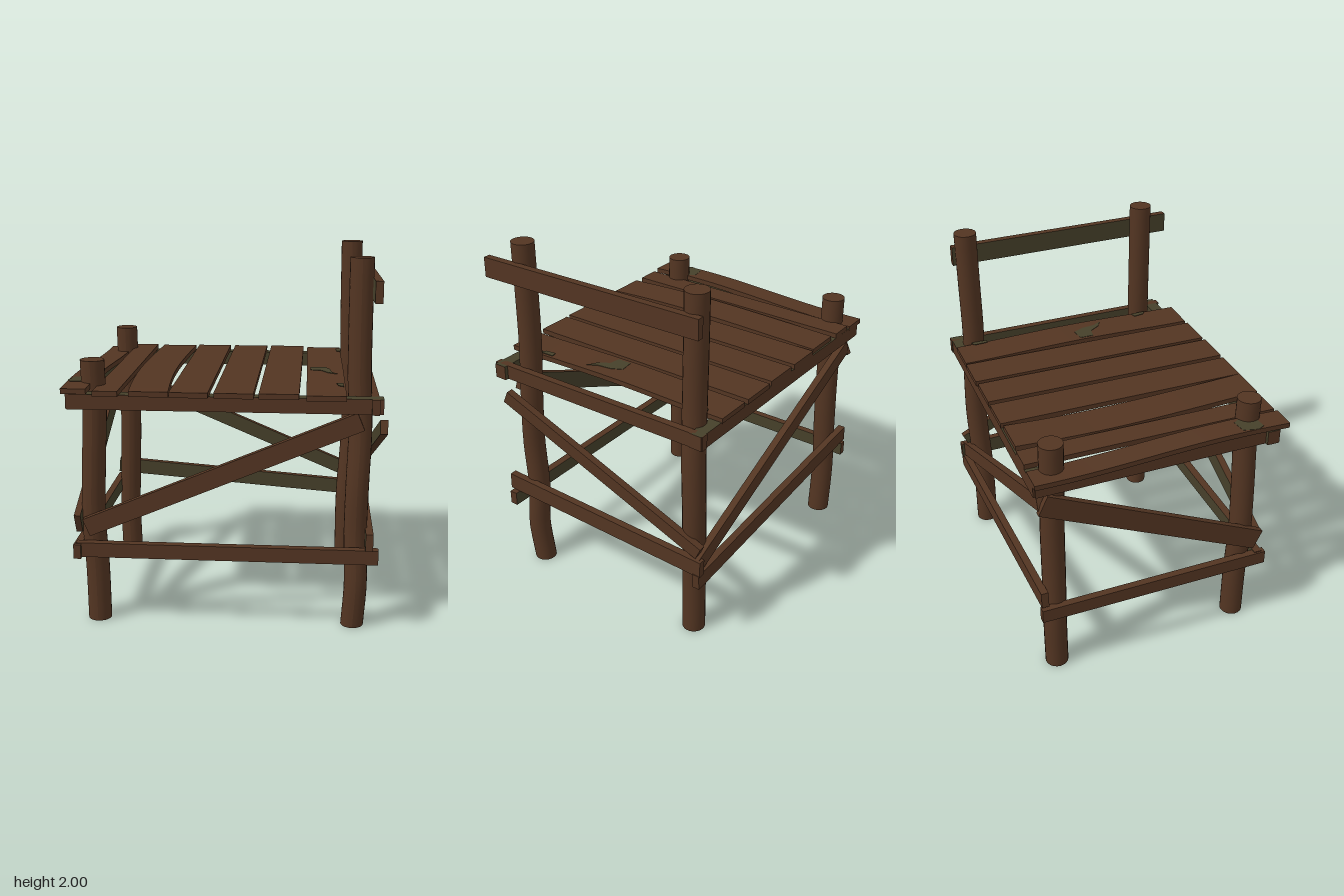
import * as THREE from 'three';

const wood = new THREE.MeshStandardMaterial({ color: 0x533522 });
wood.name = 'brown wood';
const moss = new THREE.MeshStandardMaterial({ color: 0x46402a });
moss.name = 'mossy wood';

const V = (x, y, z) => new THREE.Vector3(x, y, z);

export function createModel() {
  const group = new THREE.Group();
  const add = (name, geometry, material) => {
    const mesh = new THREE.Mesh(geometry, material);
    mesh.name = name;
    group.add(mesh);
    return mesh;
  };

  // Slightly crooked round post: a cylinder whose rings follow a curve of [x, y, z] points
  const post = (name, radius, points) => {
    const curve = new THREE.CatmullRomCurve3(points.map((p) => V(...p)));
    const geo = new THREE.CylinderGeometry(radius, radius, 1, 20, 24);
    const pos = geo.attributes.position;
    for (let i = 0; i < pos.count; i++) {
      const c = curve.getPoint(THREE.MathUtils.clamp(pos.getY(i) + 0.5, 0, 1));
      pos.setXYZ(i, pos.getX(i) + c.x, c.y, pos.getZ(i) + c.z);
    }
    geo.computeVertexNormals();
    add(name, geo, wood);
  };
  post('frontTallPost', 0.062, [
    [0.685, 0, 0.497], [0.698, 0.25, 0.515], [0.69, 0.5, 0.502], [0.692, 0.8, 0.515],
    [0.7, 1.1, 0.497], [0.688, 1.4, 0.49], [0.685, 1.7, 0.49], [0.685, 2, 0.492]]);
  post('backTallPost', 0.063, [
    [0.668, 0, -0.582], [0.668, 0.4, -0.582], [0.69, 0.8, -0.595], [0.69, 1.05, -0.59],
    [0.672, 1.35, -0.58], [0.667, 1.7, -0.583], [0.665, 2, -0.585]]);
  post('frontShortPost', 0.064, [
    [-0.712, 0, 0.515], [-0.716, 0.3, 0.515], [-0.728, 0.6, 0.52],
    [-0.718, 0.9, 0.52], [-0.705, 1.2, 0.517], [-0.71, 1.46, 0.518]]);
  post('backShortPost', 0.064, [
    [-0.725, 0, -0.58], [-0.732, 0.3, -0.585], [-0.722, 0.6, -0.58],
    [-0.715, 0.9, -0.578], [-0.722, 1.2, -0.575], [-0.727, 1.46, -0.575]]);

  // Straight board between two points; its inner face (and optionally its top) is mossy
  const board = (name, a, b, height, thick, outward, mossyTop = false) => {
    const from = V(...a), to = V(...b);
    const x = to.clone().sub(from).normalize();
    const z = V(...outward).addScaledVector(x, -x.dot(V(...outward))).normalize();
    const y = z.clone().cross(x);
    if (y.y < 0) { x.negate(); y.negate(); }
    const geo = new THREE.BoxGeometry(from.distanceTo(to), height, thick);
    const mesh = add(name, geo, [wood, wood, mossyTop ? moss : wood, wood, wood, moss]);
    mesh.quaternion.setFromRotationMatrix(new THREE.Matrix4().makeBasis(x, y, z));
    mesh.position.copy(from.add(to).multiplyScalar(0.5));
  };
  const F = [0, 0, 1], B = [0, 0, -1], R = [1, 0, 0], L = [-1, 0, 0];

  // Rails under the seat
  board('frontSeatRail', [-0.83, 1.26, 0.615], [0.81, 1.26, 0.61], 0.08, 0.07, F, true);
  board('backSeatRail', [-0.81, 1.26, -0.665], [0.78, 1.26, -0.66], 0.08, 0.07, B, true);
  board('tallSideSeatRail', [0.755, 1.26, -0.7], [0.77, 1.26, 0.66], 0.08, 0.04, R);
  board('shortSideSeatRail', [-0.8, 1.26, -0.69], [-0.79, 1.26, 0.65], 0.08, 0.04, L);

  // Lower rails
  board('frontLowerRail', [-0.81, 0.435, 0.605], [0.81, 0.435, 0.6], 0.08, 0.045, F);
  board('backLowerRail', [-0.81, 0.535, -0.66], [0.78, 0.41, -0.67], 0.09, 0.04, B);
  board('tallSideLowerRail', [0.76, 0.525, 0.64], [0.76, 0.495, -0.695], 0.095, 0.04, R);
  board('shortSideLowerRail', [-0.8, 0.43, 0.645], [-0.8, 0.43, -0.68], 0.08, 0.04, L);

  // Diagonal braces
  board('frontBrace', [-0.75, 0.56, 0.605], [0.7, 1.17, 0.58], 0.1, 0.04, F);
  board('backBrace', [-0.77, 1.15, -0.65], [0.76, 0.5, -0.66], 0.085, 0.04, B);
  board('tallSideBrace', [0.82, 1.135, 0.56], [0.745, 0.58, -0.67], 0.075, 0.04, R);
  board('shortSideBrace', [-0.8, 0.57, 0.59], [-0.79, 1.15, -0.65], 0.12, 0.035, L);

  // High rail across the tall posts
  board('topRail', [0.735, 1.845, -0.655], [0.765, 1.845, 0.68], 0.11, 0.04, R);

  // Seat slats: centre x, width, back z, front z, and optional bend [dx, dy] along z
  const still = () => [0, 0];
  const slats = [
    [-0.777, 0.132, -0.7, 0.695, (z) => [0, 0.018 * Math.sin((z + 0.1) * 3.2)]],
    [-0.613, 0.13, -0.7, 0.695, still],
    [-0.41, 0.205, -0.69, 0.695, (z) => [0.03 * z * z + 0.012 * z - 0.017 * Math.cos(z * 2.2), 0.004 * Math.sin(z * 4)]],
    [-0.183, 0.2, -0.7, 0.695, still],
    [0.048, 0.203, -0.7, 0.695, still],
    [0.278, 0.205, -0.705, 0.69, still],
    [0.512, 0.203, -0.7, 0.69, (z) => [0.01 * z, 0.006 * Math.cos(z * 4.5)]],
  ];
  slats.forEach(([cx, w, z0, z1, bend], i) => {
    const geo = new THREE.BoxGeometry(w, 0.028, z1 - z0, 1, 1, 16);
    const pos = geo.attributes.position;
    for (let k = 0; k < pos.count; k++) {
      const z = pos.getZ(k) + (z0 + z1) / 2;
      const [dx, dy] = bend(z);
      pos.setXYZ(k, cx + pos.getX(k) + dx, 1.315 + pos.getY(k) + dy, z);
    }
    geo.computeVertexNormals();
    add('seatSlat' + (i + 1), geo, wood);
  });

  // Thin moss patches on the slats
  const patch = (x, y, z, outline) => {
    const shape = new THREE.Shape(outline.map(([px, pz]) => new THREE.Vector2(px, -pz)));
    const geo = new THREE.ExtrudeGeometry(shape, { depth: 0.003, bevelEnabled: false });
    geo.rotateX(-Math.PI / 2);
    add('mossPatch', geo, moss).position.set(x, y, z);
  };
  patch(0.49, 1.334, 0.06, [[-0.06, -0.05], [0.02, -0.06], [0.05, 0], [0.06, 0.08], [0.09, 0.13],
    [0.04, 0.1], [0, 0.04], [-0.06, 0.03]]);
  patch(0.592, 1.331, 0.45, [[-0.02, -0.03], [0.015, -0.04], [0.018, 0.05], [-0.01, 0.03]]);
  patch(0.595, 1.331, -0.56, [[-0.015, -0.04], [0.015, -0.05], [0.015, 0.04], [-0.01, 0.04]]);
  const blob = [[-0.05, -0.08], [0.03, -0.09], [0.06, -0.04], [0.06, 0.03], [-0.05, 0.04], [-0.07, 0]];
  patch(-0.775, 1.345, 0.51, blob);

  return group;
}
